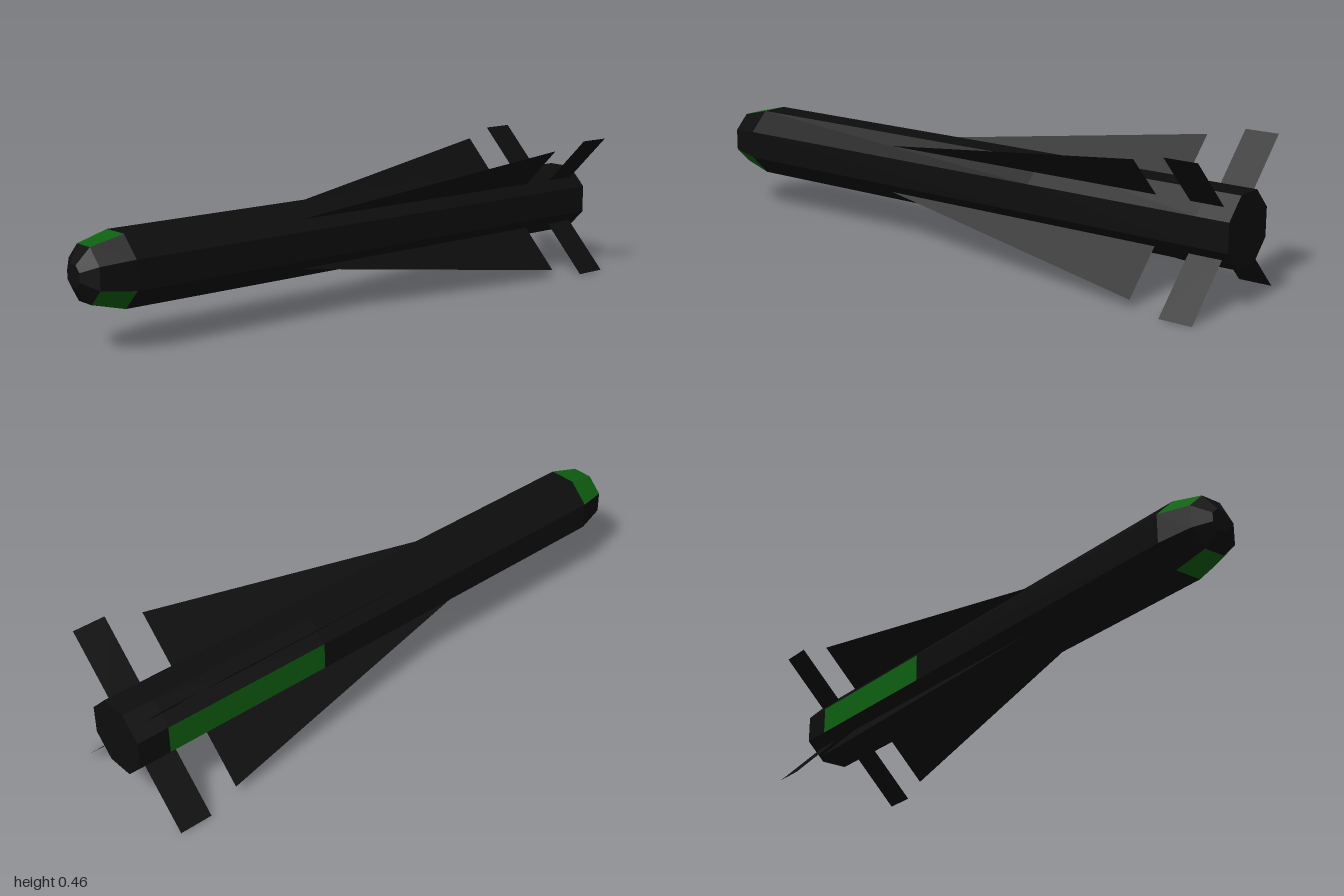
import * as THREE from 'three';

const AXIS_Y = 0.2325;
const SIDES = 8;

// Faces are numbered around the body: 0 = left (+x), 2 = top, 4 = right (-x), 6 = bottom.
// Each band runs from its z and apothem to those of the next station.
const STATIONS = [
  { part: 'tailCap', z: -1, r: 0 },
  { part: 'tailSection', z: -1, r: 0.109 },
  { part: 'midSection', z: -0.895, r: 0.109, painted: [4] },
  { part: 'foreSection', z: -0.315, r: 0.109 },
  { part: 'noseCollar', z: 0.86, r: 0.109, painted: [2, 3, 6, 7] },
  { part: 'noseCone', z: 0.965, r: 0.083 },
  { part: 'noseTip', z: 1, r: 0.033 },
  { z: 1, r: 0 },
];

// Corner of the octagon with apothem r, halfway between two faces
function corner(k, { z, r }) {
  const a = ((k - 0.5) / SIDES) * Math.PI * 2;
  const R = r / Math.cos(Math.PI / SIDES);
  return [R * Math.cos(a), R * Math.sin(a), z];
}

// Flat panels between two stations, for the listed faces
function bandGeometry(s0, s1, faces) {
  const pos = [];
  for (const k of faces) {
    const a = corner(k, s0), b = corner(k + 1, s0);
    const c = corner(k + 1, s1), d = corner(k, s1);
    if (s0.r > 0) pos.push(...a, ...b, ...c);
    if (s1.r > 0) pos.push(...a, ...c, ...d);
    else pos.push(...a, ...b, ...c);
  }
  const g = new THREE.BufferGeometry();
  g.setAttribute('position', new THREE.Float32BufferAttribute(pos, 3));
  g.computeVertexNormals();
  return g;
}

// Flat blade outline: x = distance from the axis, y = position along the body
function bladeGeometry(points) {
  const shape = new THREE.Shape(points.map(([x, z]) => new THREE.Vector2(x, z)));
  return new THREE.ShapeGeometry(shape).rotateX(Math.PI / 2);
}

export function createModel() {
  const black = new THREE.MeshStandardMaterial({ color: 0x0d0d0d, flatShading: true, side: THREE.DoubleSide });
  black.name = 'black';
  const green = new THREE.MeshStandardMaterial({ color: 0x0f6012, flatShading: true, side: THREE.DoubleSide });
  green.name = 'green';

  const model = new THREE.Group();
  model.name = 'missile';
  const rig = new THREE.Group();
  rig.name = 'airframe';
  rig.position.y = AXIS_Y;
  model.add(rig);

  const add = (name, geometry, material) => {
    const mesh = new THREE.Mesh(geometry, material);
    mesh.name = name;
    rig.add(mesh);
    return mesh;
  };

  // Octagonal body with painted panels
  const all = [...Array(SIDES).keys()];
  for (let i = 0; i < STATIONS.length - 1; i++) {
    const s0 = STATIONS[i], s1 = STATIONS[i + 1];
    const painted = s0.painted ?? [];
    add(s0.part, bandGeometry(s0, s1, all.filter(k => !painted.includes(k))), black);
    if (painted.length) add(s0.part + 'Paint', bandGeometry(s0, s1, painted), green);
  }

  // Four long wings and four tail fins, set diagonally
  const wing = bladeGeometry([[0.1, 0.25], [0.109, 0.25], [0.29, -0.745], [0.1, -0.745]]);
  const fin = bladeGeometry([[0.1, -0.857], [0.327, -0.857], [0.327, -0.965], [0.1, -0.965]]);
  for (let i = 0; i < 4; i++) {
    const angle = Math.PI / 4 + (i * Math.PI) / 2;
    add('wing' + (i + 1), wing, black).rotation.z = angle;
    add('tailFin' + (i + 1), fin, black).rotation.z = angle;
  }

  return model;
}
